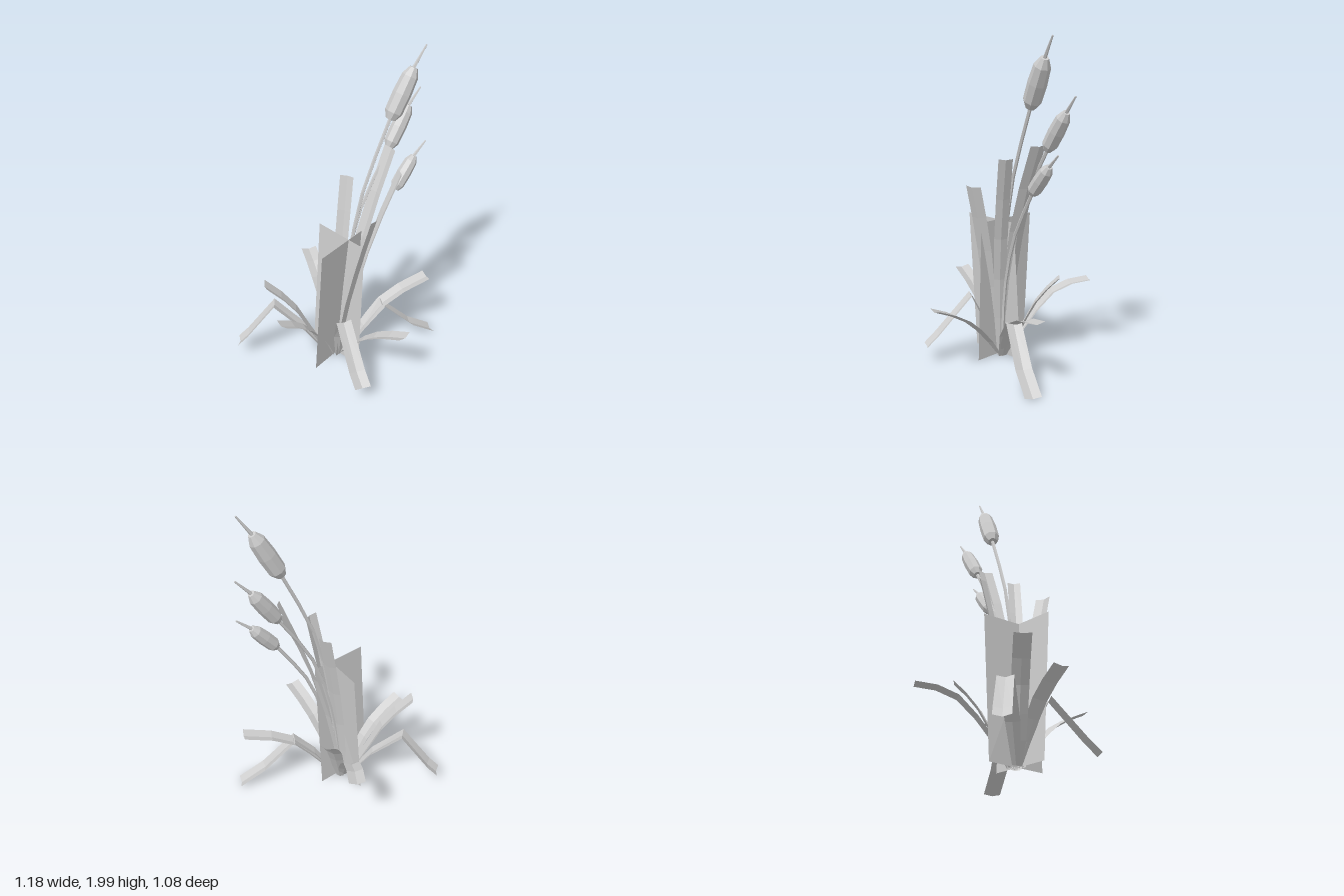
import * as THREE from 'three';

const V = (a) => new THREE.Vector3(...a);

export function createModel() {
  const group = new THREE.Group();
  const grey = new THREE.MeshStandardMaterial({ color: 0xcccccc, side: THREE.DoubleSide });
  grey.name = 'plain grey';

  const add = (name, geometry) => {
    const g = geometry.index ? geometry.toNonIndexed() : geometry;
    g.computeVertexNormals(); // faceted shading
    const mesh = new THREE.Mesh(g, grey);
    mesh.name = name;
    group.add(mesh);
    return mesh;
  };

  // Skin a list of equal-length rows of points
  const skin = (rows) => {
    const p = [];
    for (let i = 0; i < rows.length - 1; i++) {
      for (let j = 0; j < rows[i].length - 1; j++) {
        const [a, b, c, d] = [rows[i][j], rows[i][j + 1], rows[i + 1][j + 1], rows[i + 1][j]];
        for (const v of [a, b, c, a, c, d]) p.push(v.x, v.y, v.z);
      }
    }
    return new THREE.BufferGeometry().setAttribute('position', new THREE.Float32BufferAttribute(p, 3));
  };

  // Blade with a shallow V cross-section, wide and blunt at the tip
  const blade = (name, path, width, smooth) => {
    let pts = path.map(V);
    if (smooth) pts = new THREE.CatmullRomCurve3(pts).getPoints(5);
    const n = pts.length - 1;
    const run = pts[n].clone().sub(pts[0]);
    const side = new THREE.Vector3(run.z, 0, -run.x).normalize();
    const rows = pts.map((p, i) => {
      const tangent = pts[Math.min(i + 1, n)].clone().sub(pts[Math.max(i - 1, 0)]).normalize();
      const fold = new THREE.Vector3().crossVectors(tangent, side).normalize();
      const half = (width / 2) * (i === 0 ? 0.45 : Math.min(1, 0.72 + 0.28 * (i / n) * 1.6));
      return [
        p.clone().addScaledVector(side, -half),
        p.clone().addScaledVector(fold, -half * 0.28),
        p.clone().addScaledVector(side, half),
      ];
    });
    add(name, skin(rows));
  };

  // Low arching blades
  [
    [[-0.06, 0.02, 0.03], [-0.05, 0.2, 0.17], [-0.03, 0.34, 0.33], [0, 0.44, 0.53]],
    [[-0.11, 0.02, 0], [-0.21, 0.22, 0], [-0.33, 0.37, 0], [-0.5, 0.48, 0]],
    [[-0.12, 0.02, -0.02], [-0.21, 0.22, -0.07], [-0.31, 0.45, -0.13], [-0.45, 0.63, -0.21]],
    [[-0.06, 0.02, -0.03], [0.0, 0.25, -0.17], [0.06, 0.42, -0.34], [0.145, 0.46, -0.525]],
    [[-0.04, 0.02, -0.03], [0.02, 0.22, -0.09], [0.09, 0.4, -0.16], [0.18, 0.53, -0.24]],
    [[-0.03, 0.02, 0.02], [0.1, 0.2, 0.07], [0.25, 0.36, 0.12], [0.52, 0.45, 0.205]],
  ].forEach((path) => blade('archingBlade', path, 0.1, true));

  // Blades broken over at a sharp bend
  [
    [[-0.08, 0.02, 0.03], [-0.11, 0.22, 0.08], [-0.16, 0.42, 0.17], [-0.23, 0.19, 0.37], [-0.25, 0.12, 0.445]],
    [[-0.12, 0.02, -0.03], [-0.22, 0.22, -0.12], [-0.36, 0.41, -0.26], [-0.5, 0.18, -0.37], [-0.55, 0.12, -0.405]],
    [[-0.03, 0.02, 0.03], [0.08, 0.2, 0.08], [0.21, 0.34, 0.125], [0.4, 0.13, 0.2], [0.55, 0.025, 0.25]],
  ].forEach((path) => blade('bentBlade', path, 0.1, false));

  // Tall upright blades
  [
    [[-0.09, 0.02, 0.03], [-0.07, 0.4, 0.09], [-0.03, 0.8, 0.17], [0, 1.13, 0.255], 0.1],
    [[-0.05, 0.02, 0.03], [0, 0.45, 0.07], [0.1, 0.9, 0.13], [0.24, 1.32, 0.205], 0.08],
    [[-0.06, 0.02, 0], [0.01, 0.45, 0.01], [0.14, 0.95, 0.03], [0.32, 1.39, 0.04], 0.1],
    [[-0.06, 0.02, -0.02], [-0.03, 0.4, -0.04], [0.04, 0.85, -0.07], [0.115, 1.21, -0.11], 0.085],
  ].forEach((d) => blade('tallBlade', d.slice(0, 4), d[4], true));

  // Two crossed upright cards in the middle of the clump
  add('crossCard', skin([
    [V([-0.28, 0.02, 0.04]), V([0.09, 0.02, -0.02])],
    [V([-0.265, 0.9, 0.1]), V([0.1, 0.9, 0.04])],
  ]));
  add('crossCard', skin([
    [V([-0.1, 0.02, -0.19]), V([-0.055, 0.02, 0.19])],
    [V([-0.035, 0.9, -0.19]), V([-0.015, 0.9, 0.19])],
  ]));

  // Lathe or cone built along +y, then laid from one point to another
  const between = (name, geometry, a, b) => {
    const mesh = add(name, geometry);
    mesh.position.copy(a);
    mesh.quaternion.setFromUnitVectors(new THREE.Vector3(0, 1, 0), b.clone().sub(a).normalize());
  };

  // Reeds: curved stem, faceted seed head and thin spike
  [
    { stem: [[-0.04, 0.02, 0.02], [-0.01, 0.6, 0.03], [0.09, 1.14, 0.045]], low: [0.285, 1.6, 0.07], high: [0.435, 1.88, 0.095], tip: [0.515, 2, 0.11], r: 0.055 },
    { stem: [[-0.06, 0.02, -0.02], [0.01, 0.55, -0.02], [0.14, 1.02, -0.01]], low: [0.35, 1.365, 0], high: [0.505, 1.59, 0], tip: [0.59, 1.685, 0.01], r: 0.047 },
    { stem: [[-0.03, 0.02, 0.03], [0.03, 0.5, 0.05], [0.14, 0.83, 0.065]], low: [0.325, 1.125, 0.085], high: [0.475, 1.3, 0.09], tip: [0.56, 1.375, 0.1], r: 0.043 },
  ].forEach(({ stem, low, high, tip, r }) => {
    const [a, b, c] = [low, high, tip].map(V);
    const curve = new THREE.CatmullRomCurve3([...stem.map(V), a]);
    add('reedStem', new THREE.TubeGeometry(curve, 7, 0.011, 5, false));
    const len = a.distanceTo(b);
    const profile = [[0, 0], [0.55, 0], [0.95, 0.14], [1, 0.5], [0.88, 0.84], [0.45, 1], [0, 1]];
    between('seedHead', new THREE.LatheGeometry(
      profile.map(([x, y]) => new THREE.Vector2(x * r, y * len)), 8), a, b);
    const spike = b.distanceTo(c);
    between('headSpike', new THREE.CylinderGeometry(0.005, 0.011, spike, 5).translate(0, spike / 2, 0), b, c);
  });

  return group;
}
